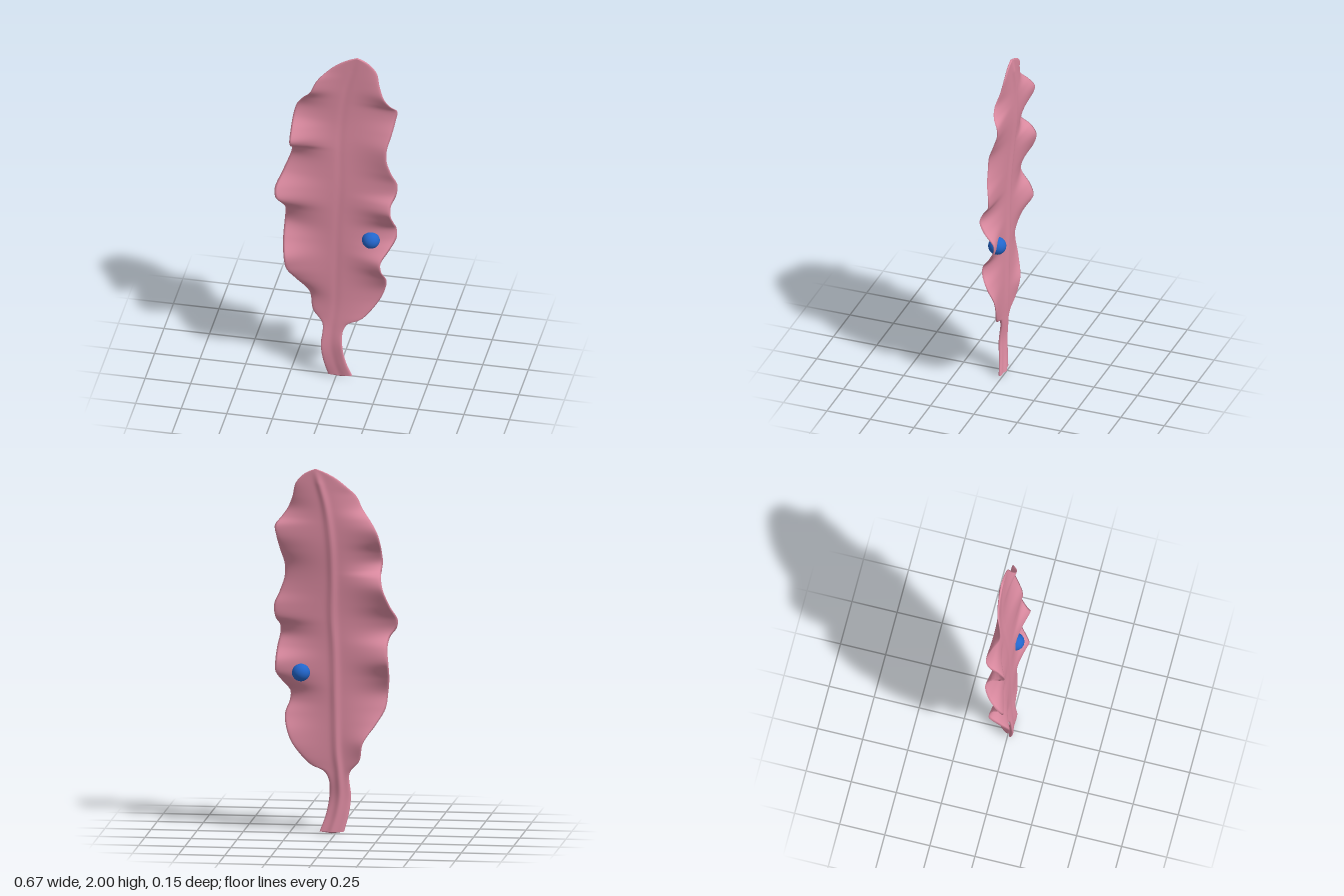
import * as THREE from 'three';

// Smooth spline through [y, x, z] points, returned as a lookup by height
function byHeight(points) {
  const curve = new THREE.CatmullRomCurve3(points.map(([y, x, z]) => new THREE.Vector3(x, y, z)), false, 'centripetal');
  const pts = curve.getPoints(900);
  return (y) => {
    let i = 1;
    while (i < pts.length - 1 && pts[i].y < y) i++;
    const a = pts[i - 1], b = pts[i];
    const t = THREE.MathUtils.clamp((y - a.y) / Math.max(b.y - a.y, 1e-6), 0, 1);
    return a.clone().lerp(b, t);
  };
}

// Ruffled edges and midrib
const leftEdge = byHeight([
  [0.01, -0.045, 0.015], [0.1, -0.068, 0.028], [0.2, -0.08, 0.036], [0.33, -0.075, 0.018], [0.4, -0.13, 0.0],
  [0.5, -0.152, -0.018], [0.6, -0.22, 0.02], [0.68, -0.265, 0.058], [0.76, -0.277, 0.07],
  [0.85, -0.29, 0.02], [0.94, -0.293, -0.04], [1.02, -0.285, -0.02], [1.08, -0.295, 0.03],
  [1.12, -0.325, 0.048], [1.17, -0.335, 0.03], [1.25, -0.303, -0.035], [1.35, -0.265, -0.066],
  [1.41, -0.252, -0.035], [1.44, -0.25, 0.015], [1.48, -0.253, 0.038], [1.54, -0.252, 0.005],
  [1.6, -0.25, -0.05], [1.66, -0.235, -0.07], [1.72, -0.197, -0.05], [1.78, -0.15, -0.016],
  [1.85, -0.117, -0.022], [1.9, -0.07, -0.045], [1.95, -0.01, -0.057], [1.985, 0.055, -0.062], [2.0, 0.1, -0.063],
]);
const rightEdge = byHeight([
  [0.01, 0.087, 0.01], [0.1, 0.055, 0.022], [0.2, 0.037, 0.03], [0.29, 0.038, 0.02], [0.34, 0.065, 0.015],
  [0.37, 0.13, 0.01], [0.42, 0.18, -0.005], [0.5, 0.235, -0.024], [0.57, 0.262, -0.022], [0.65, 0.275, 0.012],
  [0.72, 0.253, 0.046], [0.77, 0.25, 0.045], [0.83, 0.288, 0.0], [0.89, 0.32, -0.042], [0.95, 0.32, -0.044],
  [1.02, 0.316, 0.012], [1.08, 0.305, 0.042], [1.13, 0.302, 0.025], [1.18, 0.324, -0.012], [1.25, 0.33, -0.016],
  [1.32, 0.302, 0.0], [1.4, 0.276, 0.005], [1.47, 0.275, 0.0], [1.55, 0.295, -0.03], [1.63, 0.312, -0.06],
  [1.69, 0.32, -0.062], [1.73, 0.29, -0.035], [1.78, 0.255, -0.025], [1.85, 0.226, -0.045],
  [1.92, 0.208, -0.06], [1.97, 0.165, -0.063], [1.99, 0.13, -0.063], [2.0, 0.1, -0.063],
]);
const midrib = byHeight([
  [0.01, 0.021, 0.013], [0.1, -0.006, 0.022], [0.2, -0.022, 0.026], [0.32, -0.018, 0.018], [0.45, -0.005, 0.01],
  [0.7, 0.0, 0.004], [1.0, 0.005, -0.005], [1.2, 0.015, -0.014], [1.4, 0.012, -0.03],
  [1.6, 0.018, -0.05], [1.8, 0.045, -0.058], [1.93, 0.08, -0.061], [2.0, 0.1, -0.063],
]);

// Thin closed blade: every row is a ring across the front and back again
function bladeGeometry() {
  const rows = 190, half = 26, ring = half * 4;
  const pos = [], index = [];
  for (let i = 0; i <= rows; i++) {
    const s = i / rows;
    // rows crowd together towards the rounded tip
    const y = s < 0.9 ? 0.01 + 1.89 * s / 0.9 : 1.9 + 0.1 * Math.sin((s - 0.9) / 0.1 * Math.PI / 2);
    const L = leftEdge(y), R = rightEdge(y), M = midrib(y);
    const stem = 1 - THREE.MathUtils.smoothstep(y, 0.25, 0.5);
    const fade = Math.min(1, (2 - y) / 0.08);
    for (let k = 0; k < ring; k++) {
      const back = k >= half * 2;
      const u = (back ? half * 3 - k : k - half) / half;
      const E = u < 0 ? L : R, a = Math.abs(u);
      const x = M.x + (E.x - M.x) * a;
      const z = M.z + (E.z - M.z) * Math.pow(a, 2.1);
      const rib = Math.exp(-Math.pow((x - M.x) / 0.02, 2)) * fade;
      const h = (0.006 + 0.003 * stem) * Math.sqrt(Math.max(0, 1 - a ** 8));
      pos.push(x, y, back ? z - h - 0.010 * rib : z + h - 0.002 * rib);
    }
  }
  for (let i = 0; i < rows; i++) {
    for (let k = 0; k < ring; k++) {
      const a = i * ring + k, b = i * ring + (k + 1) % ring;
      index.push(a, b, a + ring, b, b + ring, a + ring);
    }
  }
  // cut end of the stalk
  const base = midrib(0.01), start = pos.length / 3;
  const rim = pos.slice(0, ring * 3);
  for (const v of rim) pos.push(v);
  pos.push(base.x, 0, base.z);
  for (let k = 0; k < ring; k++) index.push(start + (k + 1) % ring, start + k, start + ring);

  const g = new THREE.BufferGeometry();
  g.setAttribute('position', new THREE.Float32BufferAttribute(pos, 3));
  g.setIndex(index);
  g.computeVertexNormals();
  return g;
}

export function createModel() {
  const model = new THREE.Group();
  model.name = 'leaf';

  const blade = new THREE.Mesh(bladeGeometry(), new THREE.MeshStandardMaterial({ color: 0xdb8aa0, side: THREE.DoubleSide }));
  blade.name = 'leafBlade';
  model.add(blade);

  // Bead set through the blade
  const bead = new THREE.Mesh(new THREE.SphereGeometry(0.049, 32, 20), new THREE.MeshStandardMaterial({ color: 0x2266cc }));
  bead.name = 'bead';
  bead.position.set(0.185, 0.88, -0.014);
  model.add(bead);

  return model;
}
